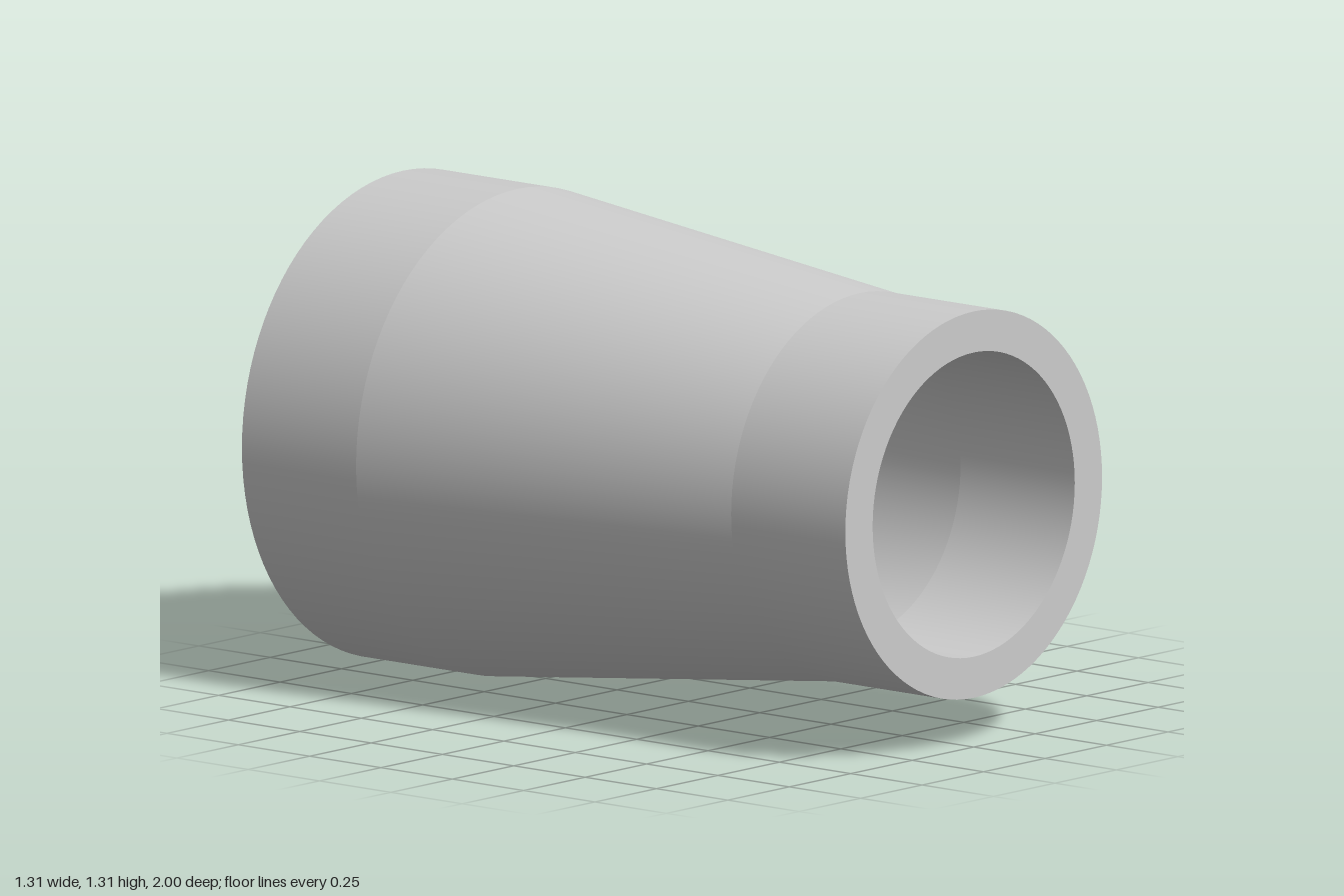
import * as THREE from 'three';

const SEGMENTS = 96;
const OUTER_BACK = 0.655, OUTER_FRONT = 0.522;
const INNER_BACK = 0.527, INNER_FRONT = 0.411;
const END = 1, TAPER = 0.6;

export function createModel() {
  const model = new THREE.Group();
  model.name = 'pipeReducer';
  const material = new THREE.MeshStandardMaterial({ color: 0xcccccc });

  // Closed wall section as [radius, z], counter-clockwise so faces point out of the wall
  const profile = [
    ['outerBackCollar', OUTER_BACK, -END],
    ['outerTaper', OUTER_BACK, -TAPER],
    ['outerFrontCollar', OUTER_FRONT, TAPER],
    ['frontRim', OUTER_FRONT, END],
    ['innerFrontBore', INNER_FRONT, END],
    ['innerTaper', INNER_FRONT, TAPER],
    ['innerBackBore', INNER_BACK, -TAPER],
    ['backRim', INNER_BACK, -END],
  ];

  // One lathe per section keeps each smooth around and sharp at its edges
  profile.forEach(([name, r, z], i) => {
    const [, r2, z2] = profile[(i + 1) % profile.length];
    const points = [new THREE.Vector2(r, z), new THREE.Vector2(r2, z2)];
    const geometry = new THREE.LatheGeometry(points, SEGMENTS);
    geometry.rotateX(Math.PI / 2); // lathe axis to z
    geometry.translate(0, OUTER_BACK, 0); // rest on the floor
    const mesh = new THREE.Mesh(geometry, material);
    mesh.name = name;
    model.add(mesh);
  });

  return model;
}
